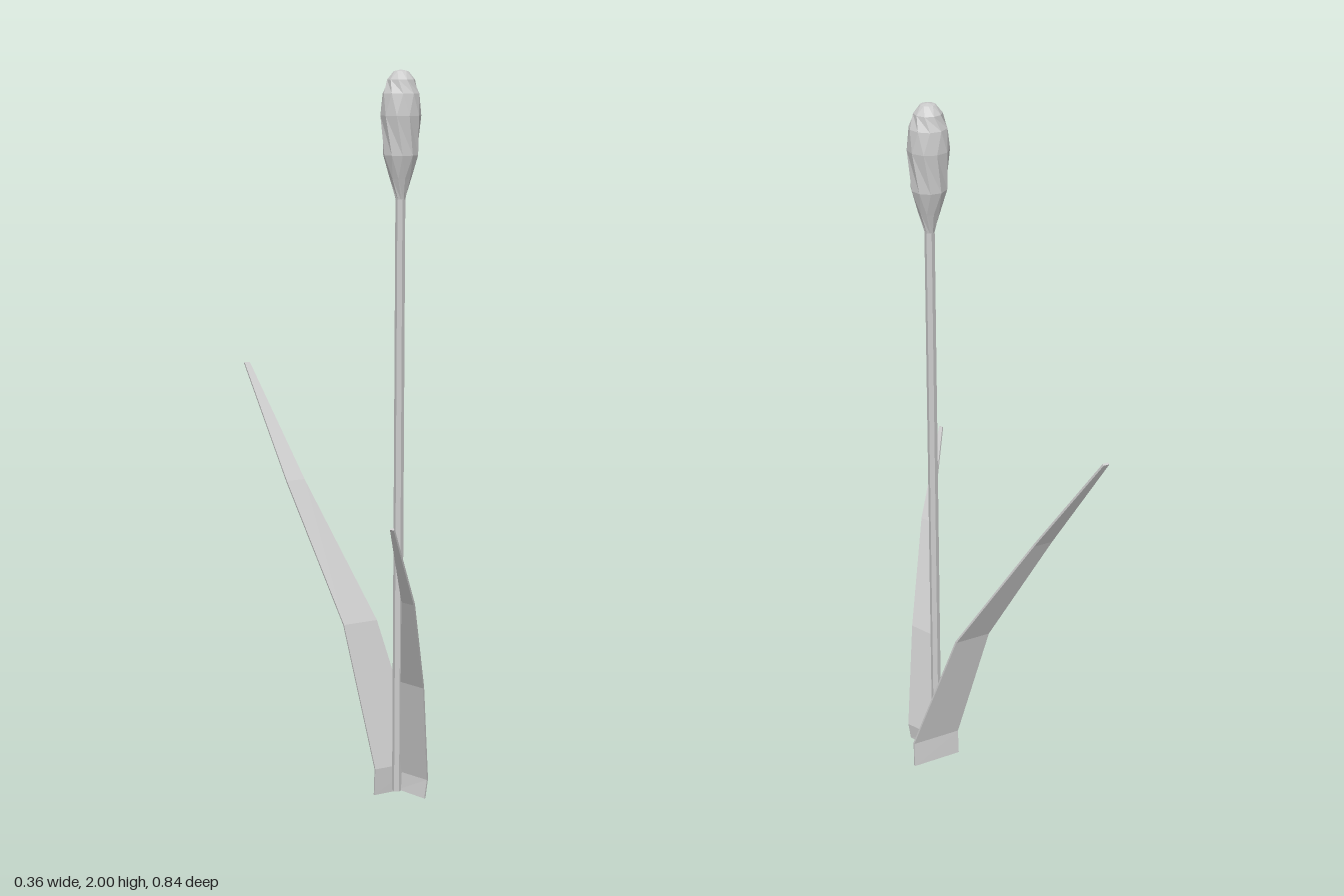
import * as THREE from 'three';

const CENTER_X = 0.092, CENTER_Z = 0.051;
const material = new THREE.MeshStandardMaterial({ color: 0xcccccc, flatShading: true });

// Thin blade through cross-sections [leftX, leftZ, rightX, rightZ, y], root to tip
function makeLeaf(name, sections, thickness) {
  const n = sections.length - 1;
  const rows = sections.map(([lx, lz, rx, rz, y]) => [new THREE.Vector3(lx, y, lz), new THREE.Vector3(rx, y, rz)]);
  const geo = new THREE.BoxGeometry(1, 1, 1, 1, n, 1);
  const pos = geo.attributes.position;
  for (let i = 0; i < pos.count; i++) {
    const k = Math.round((pos.getY(i) + 0.5) * n);
    const [left, right] = rows[k];
    const across = right.clone().sub(left);
    const along = rows[Math.min(k + 1, n)][0].clone().sub(rows[Math.max(k - 1, 0)][0]);
    const normal = across.clone().cross(along).normalize();
    const p = left.clone().lerp(right, pos.getX(i) + 0.5).addScaledVector(normal, pos.getZ(i) * thickness);
    pos.setXYZ(i, p.x, Math.max(p.y, 0), p.z);
  }
  geo.computeVertexNormals();
  const mesh = new THREE.Mesh(geo, material);
  mesh.name = name;
  return mesh;
}

// Faceted bud: every second ring of the lathe is turned by half a side
function makeBud() {
  const sides = 10;
  const profile = [
    [0, 1.672], [0.013, 1.672], [0.028, 1.725], [0.046, 1.785], [0.053, 1.885],
    [0.048, 1.94], [0.036, 1.975], [0.019, 1.996], [0, 2],
  ].map(([r, y]) => new THREE.Vector2(r, y));
  const geo = new THREE.LatheGeometry(profile, sides);
  const pos = geo.attributes.position;
  const p = new THREE.Vector3(), up = new THREE.Vector3(0, 1, 0);
  for (let i = 0; i < pos.count; i++) {
    const ring = i % profile.length;
    p.fromBufferAttribute(pos, i).applyAxisAngle(up, (ring % 2) * Math.PI / sides);
    pos.setXYZ(i, p.x, p.y, p.z);
  }
  geo.computeVertexNormals();
  const mesh = new THREE.Mesh(geo, material);
  mesh.name = 'bud';
  mesh.position.set(CENTER_X, 0, CENTER_Z);
  return mesh;
}

export function createModel() {
  const group = new THREE.Group();
  group.name = 'reed';

  // Straight slender stem
  const stem = new THREE.Mesh(new THREE.CylinderGeometry(0.013, 0.014, 1.67, 6), material);
  stem.name = 'stem';
  stem.position.set(CENTER_X, 0.015 + 1.67 / 2, CENTER_Z);

  // Tall leaf bending to the back
  const backLeaf = makeLeaf('backLeaf', [
    [0.032, 0.027, 0.177, 0.024, 0],
    [0.032, 0.032, 0.175, 0.03, 0.08],
    [-0.022, -0.065, 0.08, -0.067, 0.485],
    [-0.121, -0.242, -0.067, -0.243, 0.87],
    [-0.179, -0.42, -0.163, -0.42, 1.185],
  ], 0.006);

  // Shorter leaf bending to the front
  const frontLeaf = makeLeaf('frontLeaf', [
    [0.098, 0.05, 0.14, 0.133, 0.015],
    [0.102, 0.05, 0.148, 0.132, 0.07],
    [0.065, 0.133, 0.1, 0.2, 0.375],
    [-0.006, 0.286, 0.013, 0.32, 0.66],
    [-0.097, 0.41, -0.091, 0.419, 0.898],
  ], 0.006);

  group.add(stem, makeBud(), backLeaf, frontLeaf);
  return group;
}
